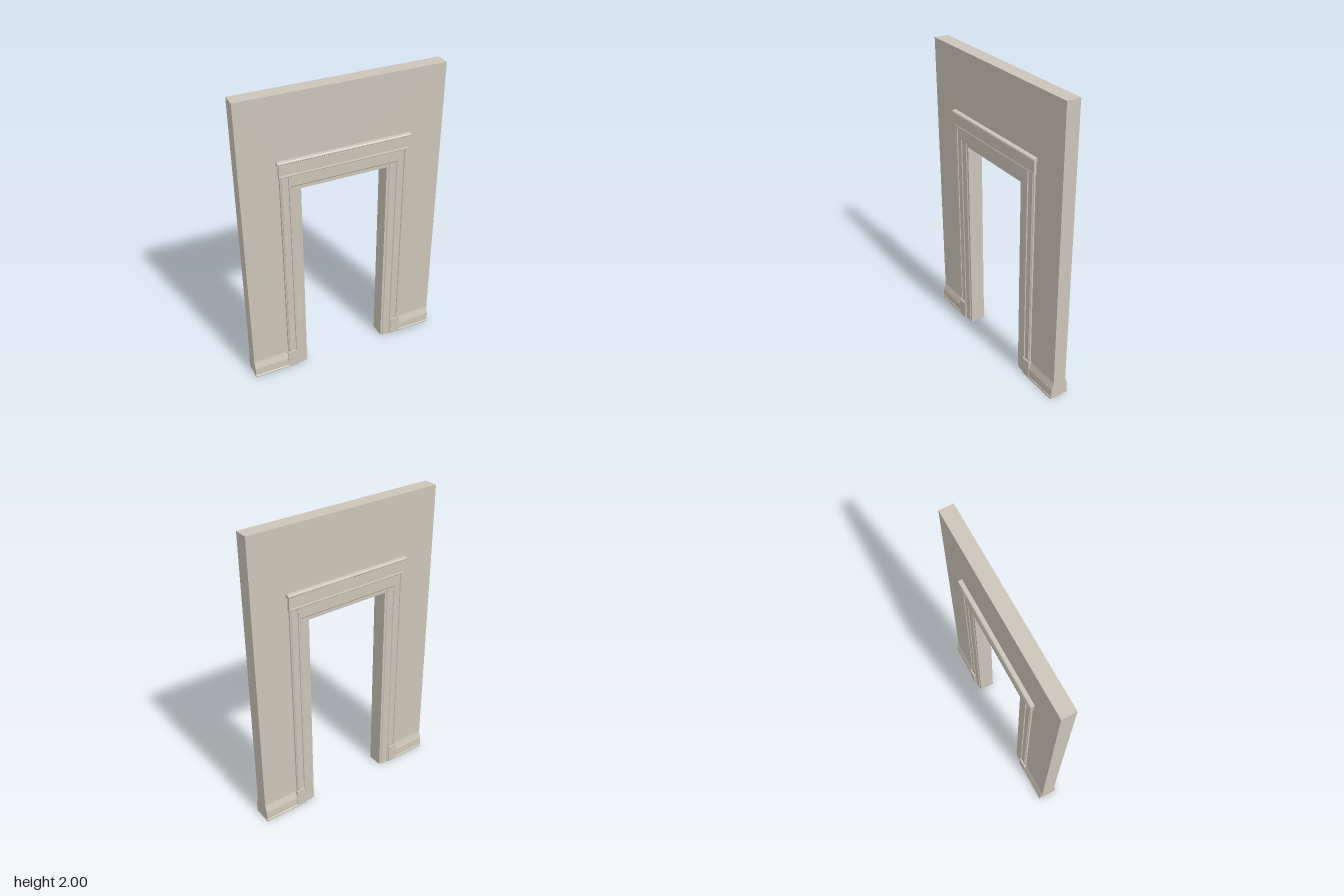
import * as THREE from 'three';

const plaster = new THREE.MeshStandardMaterial({ color: 0xcbc4b8 });
plaster.name = 'plaster';

const WALL = 0.046; // half thickness of the wall

function outline(points) {
  return new THREE.Shape(points.map(([a, b]) => new THREE.Vector2(a, b)));
}

function addMesh(parent, geometry, name) {
  const mesh = new THREE.Mesh(geometry, plaster);
  mesh.name = name;
  parent.add(mesh);
}

// Horizontal moulding: (z, y) profile run between two x positions
function runAcross(profile, x0, x1) {
  return new THREE.ExtrudeGeometry(outline(profile), { depth: x1 - x0, bevelEnabled: false })
    .rotateY(-Math.PI / 2).translate(x1, 0, 0);
}

// Vertical moulding: (x, z) profile run between two heights, mirrored by side
function runUp(profile, y0, y1, side) {
  return new THREE.ExtrudeGeometry(outline(profile.map(([x, z]) => [x * side, z])), { depth: y1 - y0, bevelEnabled: false })
    .rotateX(Math.PI / 2).translate(0, y1, 0);
}

// Trim for one face of the wall
function createTrim() {
  const trim = new THREE.Group();

  // Door casing: inner lip, stepped architrave, backboard and outer bead
  const casing = [
    [0.285, WALL], [0.285, 0.051], [0.299, 0.051], [0.304, 0.056], [0.348, 0.056], [0.353, 0.061],
    [0.362, 0.061], [0.365, 0.055], [0.4, 0.055], [0.403, 0.06], [0.409, 0.061], [0.413, 0.057],
    [0.418, 0.055], [0.42, WALL],
  ];
  // Skirting with a small foot and a sloping top
  const skirting = [
    [WALL, 0], [0.067, 0], [0.067, 0.012], [0.063, 0.015], [0.062, 0.07], [0.06, 0.078],
    [0.053, 0.1], [0.049, 0.112], [WALL, 0.125],
  ];
  for (const side of [1, -1]) {
    addMesh(trim, runUp(casing, 0, 1.49, side), 'sideCasing');
    const plinth = [[0.357, WALL], [0.357, 0.066], [0.425, 0.066], [0.425, WALL]];
    addMesh(trim, runUp(plinth, 0, 0.127, side), 'plinthBlock');
    addMesh(trim, side > 0 ? runAcross(skirting, 0.424, 0.662) : runAcross(skirting, -0.662, -0.424), 'skirting');
  }

  // Head of the casing
  addMesh(trim, runAcross([[WALL, 1.385], [0.051, 1.385], [0.051, 1.415], [WALL, 1.415]], -0.29, 0.29), 'headLip');
  addMesh(trim, runAcross([
    [WALL, 1.412], [0.056, 1.412], [0.0615, 1.419], [0.0615, 1.49], [WALL, 1.49],
  ], -0.364, 0.364), 'headCasing');

  // Frieze board with a thin bead along its foot
  addMesh(trim, runAcross([
    [WALL, 1.488], [0.064, 1.488], [0.066, 1.492], [0.065, 1.497], [0.063, 1.503], [0.063, 1.574], [WALL, 1.574],
  ], -0.424, 0.424), 'frieze');

  // Cornice with a rounded nose
  const cornice = [[WALL, 1.572], [0.066, 1.572]];
  for (let i = 0; i <= 6; i++) {
    const a = -Math.PI / 2 + (Math.PI * i) / 6;
    cornice.push([0.064 + 0.01 * Math.cos(a), 1.584 + 0.01 * Math.sin(a)]);
  }
  cornice.push([WALL, 1.594]);
  addMesh(trim, runAcross(cornice, -0.433, 0.433), 'cornice');
  return trim;
}

export function createModel() {
  const model = new THREE.Group();
  model.name = 'doorwayWall';

  // Wall with the doorway cut out
  const wall = outline([
    [-0.662, 0], [-0.285, 0], [-0.285, 1.385], [0.285, 1.385], [0.285, 0], [0.662, 0], [0.662, 2], [-0.662, 2],
  ]);
  addMesh(model, new THREE.ExtrudeGeometry(wall, { depth: WALL * 2, bevelEnabled: false }).translate(0, 0, -WALL), 'wall');

  // Same trim on both faces
  const front = createTrim();
  front.name = 'frontTrim';
  const back = createTrim();
  back.name = 'backTrim';
  back.rotation.y = Math.PI;
  model.add(front, back);
  return model;
}
